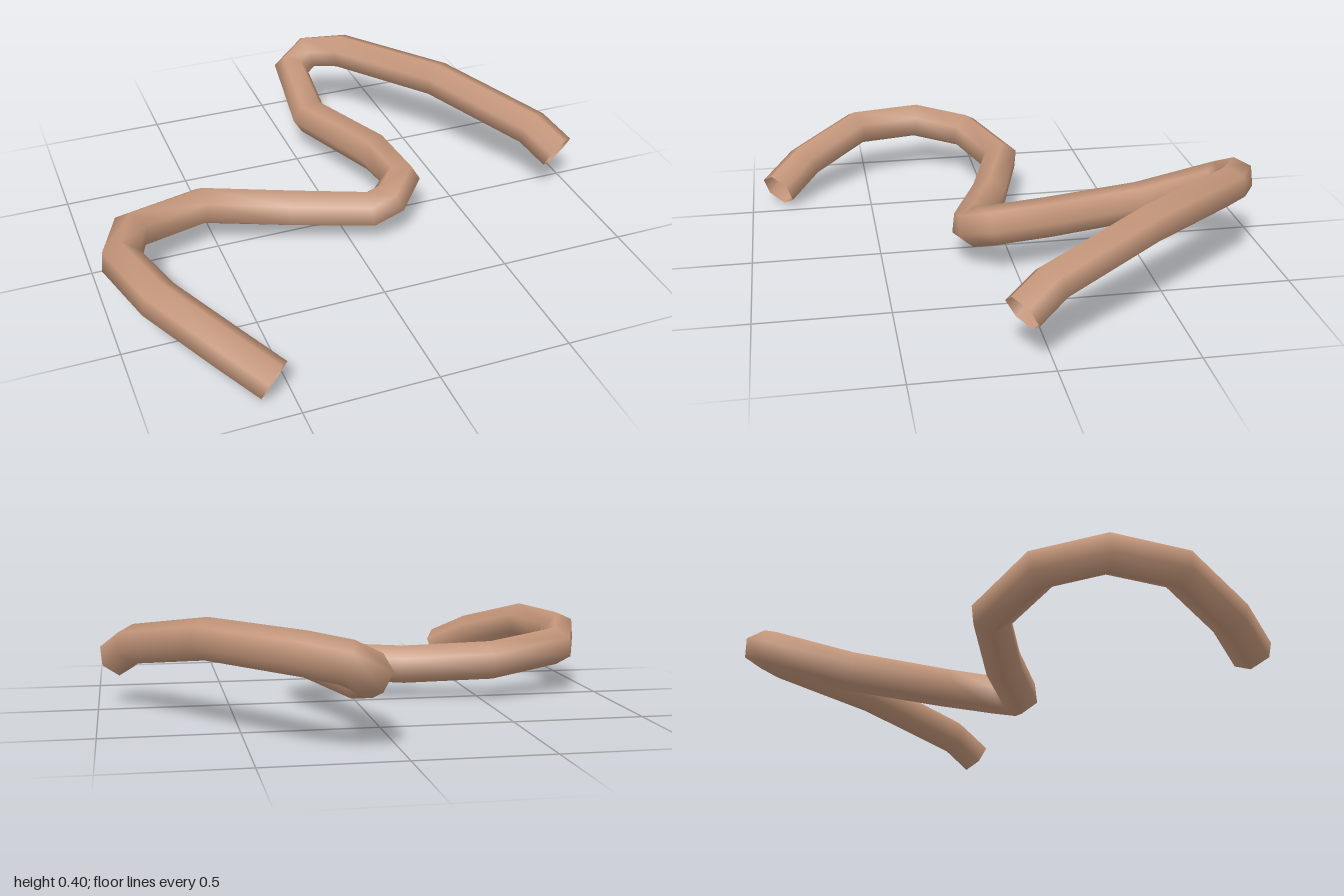
import * as THREE from 'three';

// Curve sampled by parameter, so the tube's rings fall exactly on the bend points
class BendCurve extends THREE.CatmullRomCurve3 {
  getPointAt(u, target) { return this.getPoint(u, target); }
  getTangentAt(u, target) { return this.getTangent(u, target); }
}

export function createModel() {
  const group = new THREE.Group();
  group.name = 'windingTube';

  const clay = new THREE.MeshStandardMaterial({ color: 0xc4967a, side: THREE.DoubleSide });
  clay.name = 'clay brown';

  // Centreline from the front left end to the raised right end
  const bends = [
    [-0.56, 0.073, 0.89], [-0.68, 0.15, 0.77], [-0.855, 0.23, 0.53],
    [-0.925, 0.225, 0.26], [-0.845, 0.19, 0.045], [-0.54, 0.16, -0.07],
    [-0.205, 0.135, 0.035], [0.08, 0.137, 0.153], [0.16, 0.163, 0.15],
    [0.236, 0.2, 0.08], [0.21, 0.205, -0.13], [0.072, 0.185, -0.53],
    [0.095, 0.26, -0.835], [0.185, 0.308, -0.875], [0.315, 0.328, -0.8],
    [0.61, 0.328, -0.41], [0.86, 0.255, -0.005], [0.925, 0.188, 0.105],
  ].map((p) => new THREE.Vector3(...p));

  // Open six-sided tube with smooth normals
  const path = new BendCurve(bends);
  const tube = new THREE.Mesh(new THREE.TubeGeometry(path, bends.length - 1, 0.0775, 6, false), clay);
  tube.name = 'tube';
  group.add(tube);

  return group;
}
